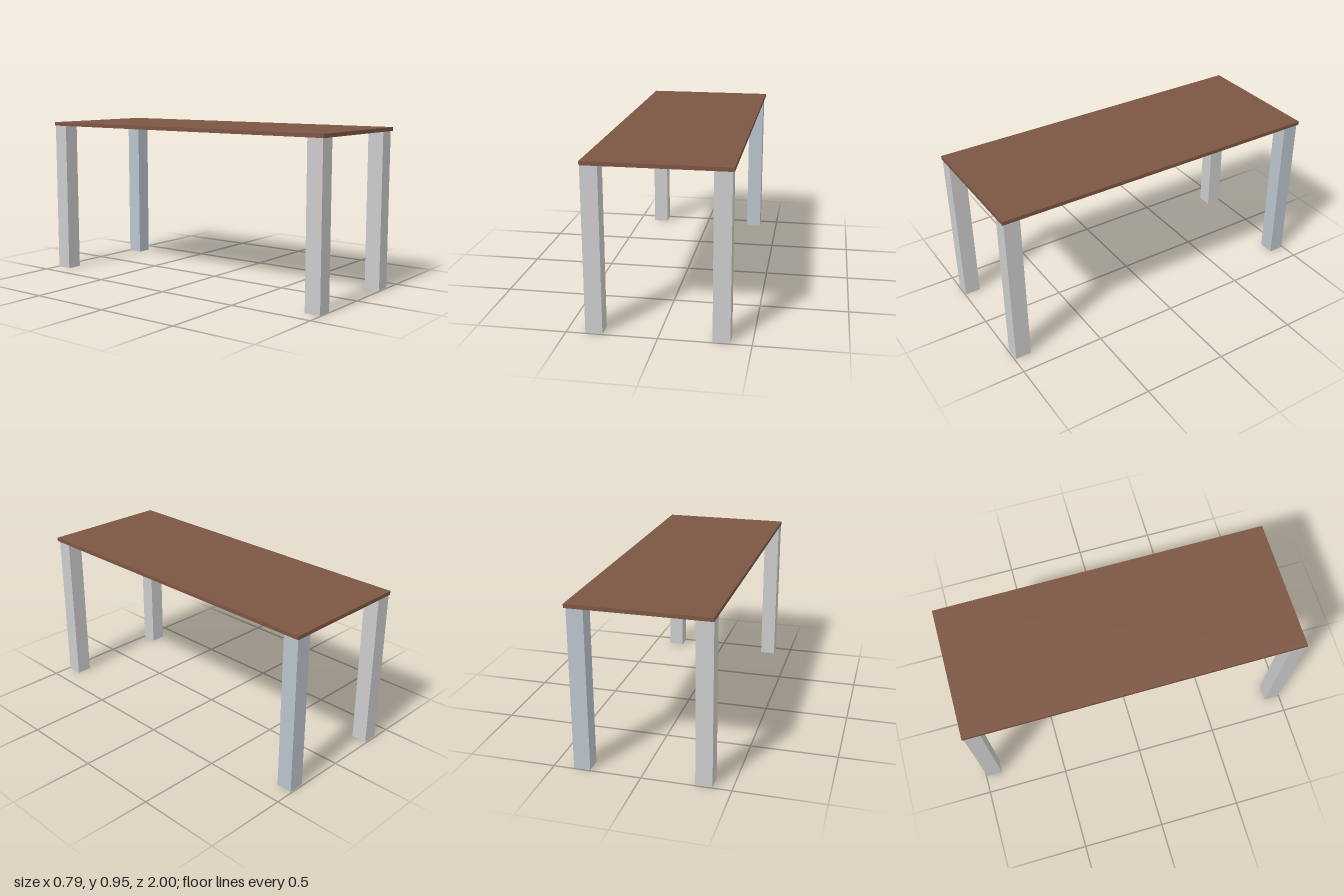
import * as THREE from 'three';

export function createModel() {
  const table = new THREE.Group();
  table.name = 'table';

  const wood = new THREE.MeshStandardMaterial({ color: 0x7c5543 });
  const grey = new THREE.MeshStandardMaterial({ color: 0xcccccc });
  const blueGrey = new THREE.MeshStandardMaterial({ color: 0xbac3cc });

  const underside = 0.93;
  const legWidth = 0.094;

  function addBox(name, size, position, material) {
    const mesh = new THREE.Mesh(new THREE.BoxGeometry(...size), material);
    mesh.name = name;
    mesh.position.set(...position);
    table.add(mesh);
  }

  // Thin rectangular top
  addBox('tableTop', [0.79, 0.022, 2], [0, underside + 0.011, 0], wood);

  // Square legs, set slightly unevenly under the corners
  const legs = [
    ['frontLeftLeg', 0.338, 0.943, grey],
    ['frontRightLeg', -0.347, 0.948, grey],
    ['backLeftLeg', 0.338, -0.945, blueGrey],
    ['backRightLeg', -0.347, -0.945, grey],
  ];
  for (const [name, x, z, material] of legs) {
    addBox(name, [legWidth, underside, legWidth], [x, underside / 2, z], material);
  }

  return table;
}
